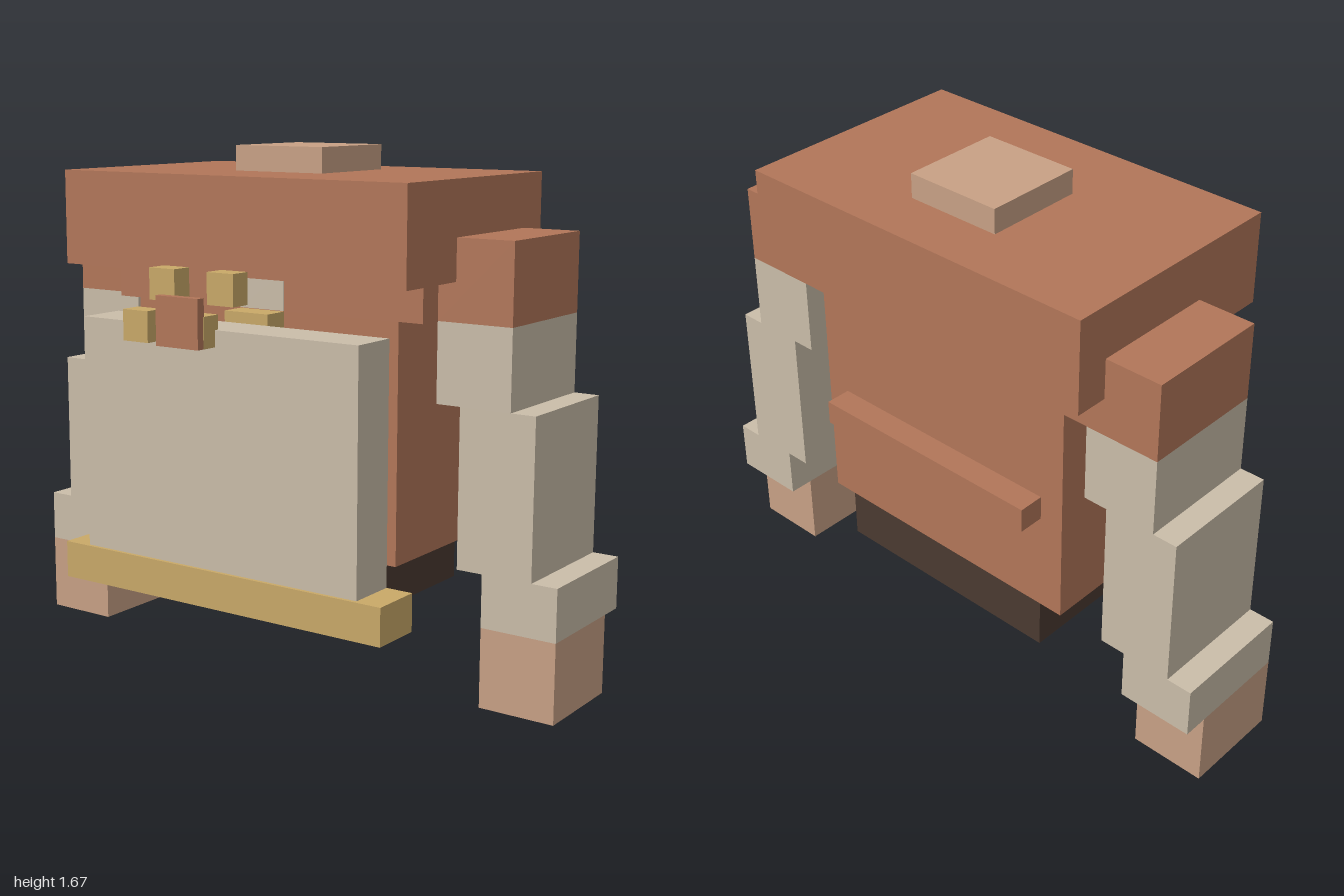
import * as THREE from 'three';

const mat = (name, color) => {
  const m = new THREE.MeshStandardMaterial({ color });
  m.name = name;
  return m;
};

export function createModel() {
  const model = new THREE.Group();
  model.name = 'blockFigure';
  const terracotta = mat('terracotta', 0xb27659);
  const beige = mat('beige', 0xcabda9);
  const gold = mat('gold', 0xc9a968);
  const tan = mat('tan', 0xc8a185);
  const dark = mat('darkBrown', 0x4b3a30);

  // Box given by its minimum and maximum along each axis
  const box = (name, material, [x0, x1], [y0, y1], [z0, z1], parent = model) => {
    const mesh = new THREE.Mesh(new THREE.BoxGeometry(x1 - x0, y1 - y0, z1 - z0), material);
    mesh.position.set((x0 + x1) / 2, (y0 + y1) / 2, (z0 + z1) / 2);
    mesh.name = name;
    parent.add(mesh);
    return mesh;
  };

  // Body
  const bodyZ = [-0.36, 0.14];
  box('hips', dark, [-0.417, 0.417], [0.255, 0.42], bodyZ);
  box('torso', terracotta, [-0.5, 0.5], [0.42, 1.17], bodyZ);
  box('chest', terracotta, [-0.583, 0.583], [1.17, 1.42], bodyZ);
  box('neckPatch', beige, [-0.083, 0.083], [1.17, 1.29], [0.138, 0.143]);
  box('backBar', terracotta, [-0.417, 0.417], [0.755, 0.835], [-0.445, -0.36]);

  // Head slab with cap
  box('head', terracotta, [-0.643, 0.643], [1.29, 1.59], [-0.47, 0.332]);
  box('cap', tan, [-0.165, 0.165], [1.59, 1.67], [-0.28, 0.055]);

  // Stepped arms
  for (const side of [1, -1]) {
    const arm = new THREE.Group();
    arm.name = side > 0 ? 'leftArm' : 'rightArm';
    model.add(arm);
    const part = (name, material, a, b, y, z = [-0.36, 0.055]) =>
      box(name, material, side > 0 ? [a, b] : [-b, -a], y, z, arm);
    part('shoulder', terracotta, 0.583, 0.833, [1.17, 1.42]);
    part('upperArm', beige, 0.583, 0.833, [0.92, 1.17]);
    part('forearm', beige, 0.664, 0.915, [0.42, 0.92]);
    part('cuff', beige, 0.75, 1.0, [0.253, 0.42]);
    part('hand', tan, 0.75, 1.0, [0, 0.253], [-0.278, 0.055]);
  }

  // Front board with gold rail, held off the body by pegs
  box('board', beige, [-0.522, 0.522], [0.38, 1.133], [0.225, 0.388]);
  box('boardRail', gold, [-0.612, 0.612], [0.26, 0.38], [0.225, 0.4]);
  for (const [y0, y1] of [[0.255, 0.42], [0.588, 0.668], [0.838, 0.92], [1.085, 1.168]])
    box('peg', gold, [-0.083, 0.083], [y0, y1], [0.14, 0.225]);

  // Cluster of small cubes with a plate
  for (const [x, y] of [[-0.26, 1.13], [-0.152, 1.265], [-0.042, 1.13], [0.07, 1.265]])
    box('goldCube', gold, [x - 0.049, x + 0.049], [y - 0.049, y + 0.049], [0.373, 0.444]);
  box('frontPlate', terracotta, [-0.156, 0.006], [1.081, 1.235], [0.44, 0.47]);

  return model;
}
